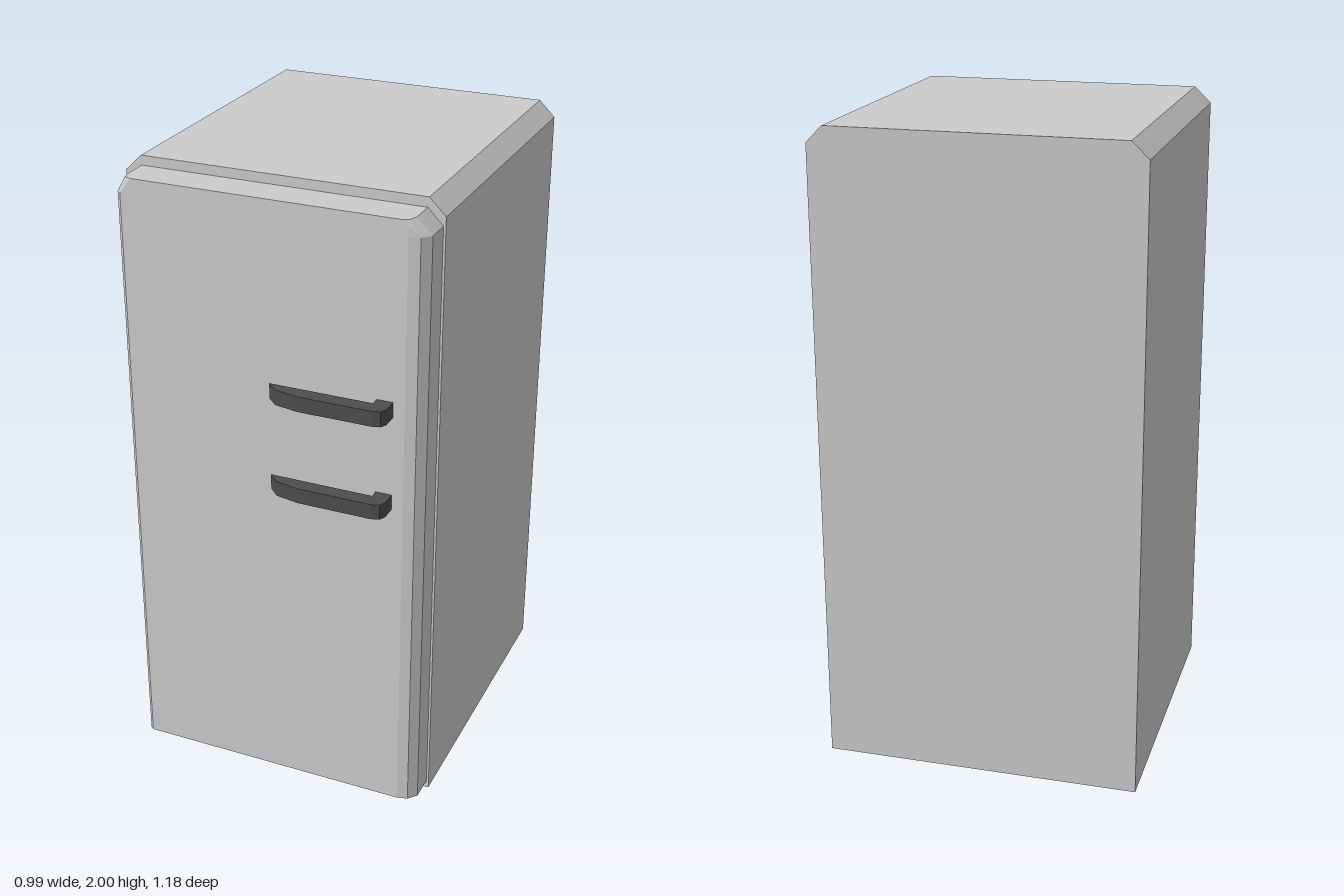
import * as THREE from 'three';

const shell = new THREE.MeshStandardMaterial({ color: 0xcccccc, flatShading: true });
const dark = new THREE.MeshStandardMaterial({ color: 0x4d4d4d, flatShading: true });

function add(parent, name, geometry, material) {
  const mesh = new THREE.Mesh(geometry, material);
  mesh.name = name;
  parent.add(mesh);
  return mesh;
}

function extrude(points, depth) {
  const shape = new THREE.Shape(points.map(([x, y]) => new THREE.Vector2(x, y)));
  return new THREE.ExtrudeGeometry(shape, { depth, bevelEnabled: false });
}

// Closed solid through matching rings, ordered back to front, each counter-clockwise from the front
function loft(rings) {
  const n = rings[0].length;
  const last = (rings.length - 1) * n;
  const index = [];
  for (let k = 0; k < rings.length - 1; k++) {
    for (let i = 0; i < n; i++) {
      const a = k * n + i, b = k * n + (i + 1) % n;
      index.push(a, b, b + n, a, b + n, a + n);
    }
  }
  for (let i = 1; i < n - 1; i++) {
    index.push(0, i + 1, i);
    index.push(last, last + i, last + i + 1);
  }
  const geometry = new THREE.BufferGeometry();
  geometry.setAttribute('position', new THREE.Float32BufferAttribute(rings.flat(2), 3));
  geometry.setIndex(index);
  const flat = geometry.toNonIndexed();
  flat.computeVertexNormals();
  return flat;
}

// Door outline at depth z: side limits below the cut corners, and limits along the top edge
function doorRing(z, left, right, topLeft, topRight) {
  const bottom = 0.025, shoulder = 1.923, top = 1.97;
  return [
    [left, bottom, z], [right, bottom, z], [right, shoulder, z],
    [topRight, top, z], [topLeft, top, z], [left, shoulder, z],
  ];
}

export function createModel() {
  const fridge = new THREE.Group();
  fridge.name = 'fridge';

  // Cabinet with chamfered upper edges
  const body = [[-0.496, 0], [0.494, 0], [0.494, 1.95], [0.444, 2], [-0.444, 2], [-0.496, 1.95]];
  add(fridge, 'cabinet', extrude(body, 0.987), shell).position.z = -0.59;

  // Door with front edges easing inwards
  add(fridge, 'door', loft([
    doorRing(0.397, -0.474, 0.487, -0.443, 0.44),
    doorRing(0.478, -0.474, 0.487, -0.443, 0.44),
    doorRing(0.504, -0.464, 0.463, -0.438, 0.43),
    doorRing(0.513, -0.452, 0.43, -0.415, 0.412),
  ]), shell);

  // Two hooked handles, drawn in plan and extruded downwards
  const handlePlan = [
    [0.345, 0.508], [0.395, 0.508], [0.395, 0.562], [0.385, 0.581], [0.36, 0.588],
    [0.13, 0.588], [0.055, 0.573], [0.022, 0.54], [0.345, 0.54],
  ];
  const handle = extrude(handlePlan, 0.048).rotateX(Math.PI / 2);
  add(fridge, 'upperHandle', handle, dark).position.y = 1.424;
  add(fridge, 'lowerHandle', handle, dark).position.y = 1.125;

  return fridge;
}
